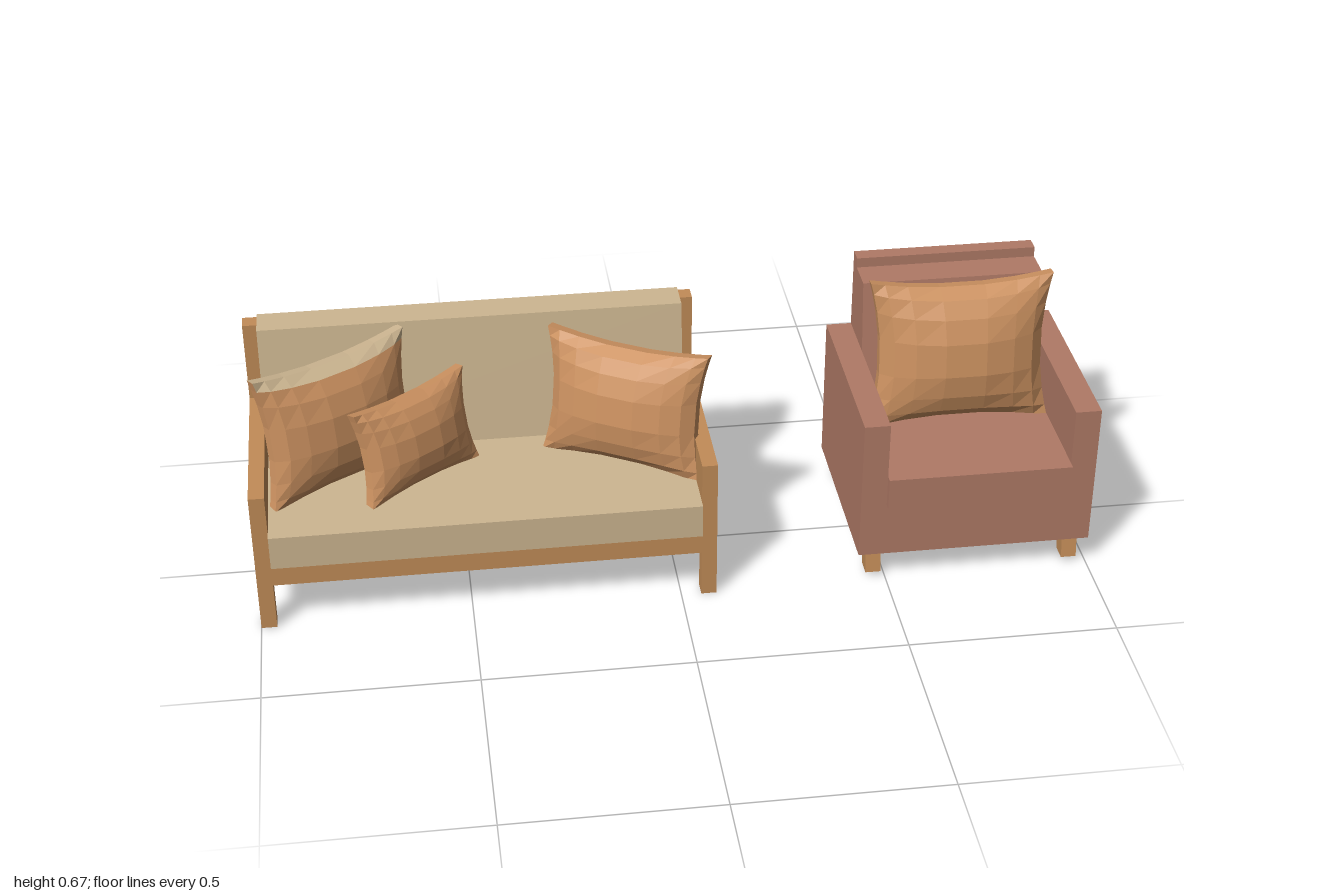
import * as THREE from 'three';

const mat = (name, color) => {
  const m = new THREE.MeshStandardMaterial({ color });
  m.name = name;
  return m;
};

export function createModel() {
  const wood = mat('wood', 0xc28c58);
  const linen = mat('linen', 0xcdb691);
  const terracotta = mat('terracotta', 0xb07a66);
  const pillowCloth = mat('pillowCloth', 0xcb9160);

  const add = (parent, name, geometry, material) => {
    const mesh = new THREE.Mesh(geometry, material);
    mesh.name = name;
    parent.add(mesh);
    return mesh;
  };

  // Box given by its limits on each axis
  const box = (parent, name, material, [x0, x1], [y0, y1], [z0, z1]) => {
    const g = new THREE.BoxGeometry(x1 - x0, y1 - y0, z1 - z0);
    g.translate((x0 + x1) / 2, (y0 + y1) / 2, (z0 + z1) / 2);
    return add(parent, name, g, material);
  };

  // Side profile of (z, y) points, extruded along x
  const prism = (parent, name, material, [x0, x1], points) => {
    const shape = new THREE.Shape(points.map(([z, y]) => new THREE.Vector2(z, y)));
    const g = new THREE.ExtrudeGeometry(shape, { depth: x1 - x0, bevelEnabled: false });
    g.rotateY(-Math.PI / 2);
    g.translate(x1, 0, 0);
    return add(parent, name, g, material);
  };

  // Faceted pillow: bulging faces, concave edges, pointed corners and a flat rim.
  // Material group 0 is the cloth, group 1 the upper edge.
  function pillowGeometry(w, h, thick) {
    const steps = [-1, -0.85, -0.6, -0.25, 0.25, 0.6, 0.85, 1];
    const n = steps.length - 1;
    const rim = 0.013;
    const point = (i, j, side) => {
      const u = steps[i], v = steps[j];
      const bulge = Math.pow((1 - u * u) * (1 - v * v), 0.62);
      return [
        (w / 2) * u * (1 - 0.11 * (1 - v * v)),
        (h / 2) * v * (1 - 0.11 * (1 - u * u)),
        side * (rim + (thick / 2 - rim) * bulge),
      ];
    };
    const cloth = [], edge = [];
    const quad = (list, a, b, c, d) => list.push(...a, ...b, ...c, ...a, ...c, ...d);
    for (let i = 0; i < n; i++) {
      for (let j = 0; j < n; j++) {
        const front = j === n - 1 ? edge : cloth;
        quad(front, point(i, j, 1), point(i + 1, j, 1), point(i + 1, j + 1, 1), point(i, j + 1, 1));
        quad(cloth, point(i + 1, j, -1), point(i, j, -1), point(i, j + 1, -1), point(i + 1, j + 1, -1));
      }
      quad(edge, point(i, n, 1), point(i + 1, n, 1), point(i + 1, n, -1), point(i, n, -1));
      quad(cloth, point(i, 0, -1), point(i + 1, 0, -1), point(i + 1, 0, 1), point(i, 0, 1));
      quad(cloth, point(n, i, 1), point(n, i, -1), point(n, i + 1, -1), point(n, i + 1, 1));
      quad(cloth, point(0, i, -1), point(0, i, 1), point(0, i + 1, 1), point(0, i + 1, -1));
    }
    const g = new THREE.BufferGeometry();
    g.setAttribute('position', new THREE.Float32BufferAttribute([...cloth, ...edge], 3));
    g.addGroup(0, cloth.length / 3, 0);
    g.addGroup(cloth.length / 3, edge.length / 3, 1);
    g.computeVertexNormals();
    return g;
  }

  const pillow = (parent, name, size, position, yaw, tilt, edgeMaterial = pillowCloth) => {
    const mesh = add(parent, name, pillowGeometry(...size), [pillowCloth, edgeMaterial]);
    mesh.position.set(...position);
    mesh.rotation.set(tilt, yaw, 0, 'YXZ');
  };

  const model = new THREE.Group();
  model.name = 'livingRoomSeating';

  // Sofa
  const sofa = new THREE.Group();
  sofa.name = 'sofa';
  model.add(sofa);
  const inner = [-0.963, 0.048];
  box(sofa, 'sofaBase', wood, inner, [0.12, 0.18], [-0.21, 0.235]);
  box(sofa, 'sofaBack', wood, [-1, 0.085], [0.12, 0.567], [-0.25, -0.21]);
  for (const [x0, x1] of [[-1, -0.963], [0.048, 0.085]]) {
    box(sofa, 'sofaArm', wood, [x0, x1], [0.12, 0.365], [-0.21, 0.235]);
    box(sofa, 'sofaFrontLeg', wood, [x0, x1], [0, 0.12], [0.198, 0.235]);
    box(sofa, 'sofaBackLeg', wood, [x0, x1], [0, 0.12], [-0.247, -0.207]);
  }
  box(sofa, 'sofaSeatCushion', linen, inner, [0.18, 0.265], [-0.21, 0.253]);
  prism(sofa, 'sofaBackCushion', linen, inner,
    [[-0.21, 0.275], [-0.09, 0.275], [-0.13, 0.597], [-0.21, 0.597]]);
  pillow(sofa, 'largePillow', [0.41, 0.335, 0.15], [-0.79, 0.425, 0.005], 0.55, -0.14, linen);
  pillow(sofa, 'smallPillow', [0.33, 0.24, 0.12], [-0.61, 0.378, 0.035], 0.65, -0.2);
  pillow(sofa, 'cornerPillow', [0.41, 0.32, 0.15], [-0.105, 0.415, 0.01], -0.52, -0.16);

  // Armchair
  const chair = new THREE.Group();
  chair.name = 'armchair';
  model.add(chair);
  const seat = [0.492, 0.936];
  box(chair, 'chairBase', terracotta, seat, [0.077, 0.218], [-0.212, 0.235]);
  box(chair, 'chairBack', terracotta, seat, [0.077, 0.643], [-0.25, -0.212]);
  box(chair, 'chairSeatCushion', terracotta, seat, [0.218, 0.298], [-0.212, 0.253]);
  prism(chair, 'chairBackCushion', terracotta, seat,
    [[-0.212, 0.298], [-0.093, 0.298], [-0.131, 0.618], [-0.212, 0.618]]);
  for (const x of [[0.43, 0.492], [0.936, 0.998]]) {
    box(chair, 'chairArm', terracotta, x, [0.077, 0.44], [-0.25, 0.235]);
  }
  // Tapered legs
  for (const x of [[0.452, 0.489], [0.939, 0.976]]) {
    prism(chair, 'chairFrontLeg', wood, x,
      [[0.18, 0.015], [0.222, 0.015], [0.213, 0.077], [0.16, 0.077]]);
    prism(chair, 'chairBackLeg', wood, x,
      [[-0.245, 0.015], [-0.203, 0.015], [-0.184, 0.077], [-0.237, 0.077]]);
  }
  pillow(chair, 'chairPillow', [0.445, 0.375, 0.17], [0.714, 0.478, -0.03], 0, -0.13);

  return model;
}
